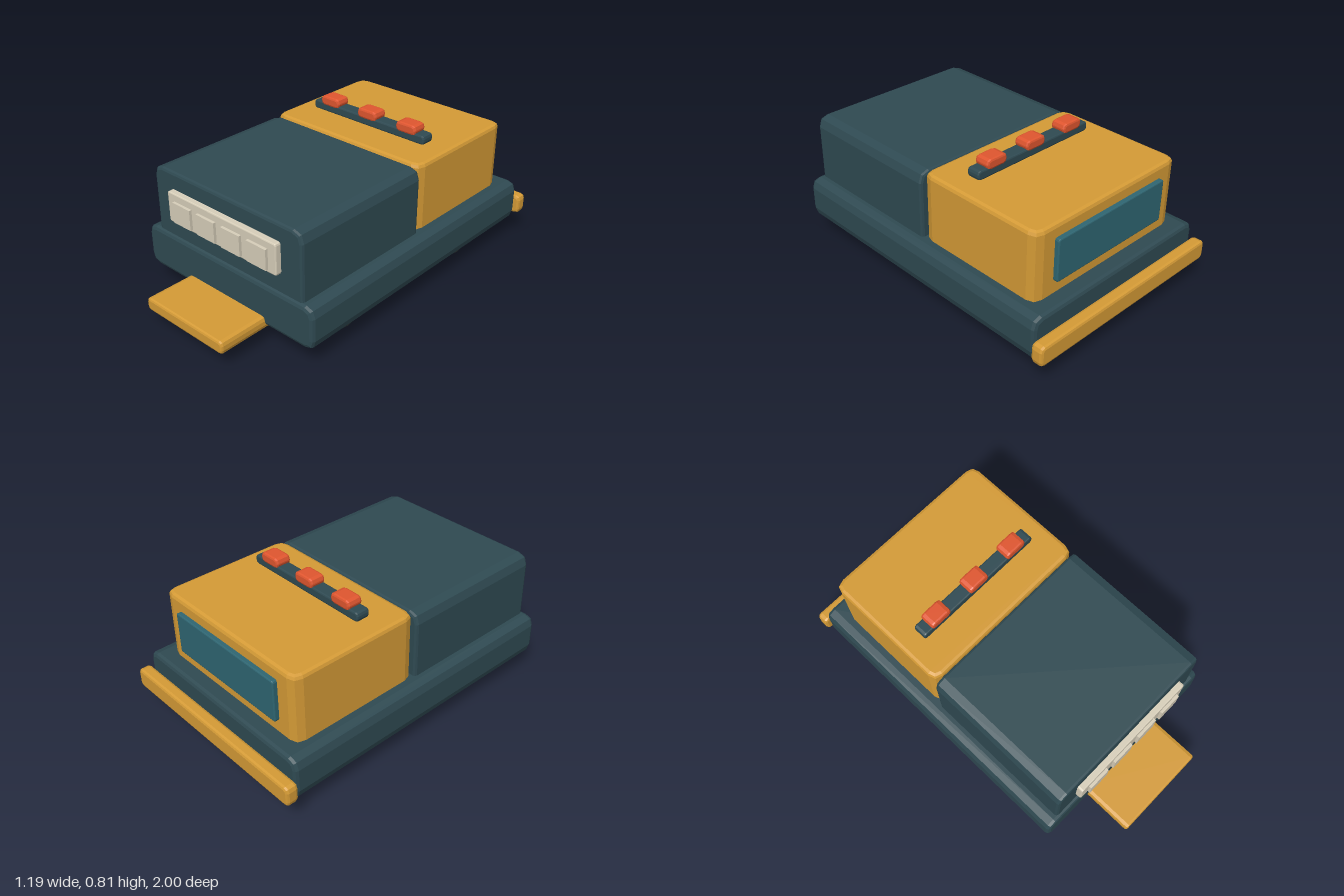
import * as THREE from 'three';

const mat = (color) => new THREE.MeshStandardMaterial({ color, flatShading: true });

// Bevelled block given by its bounds; extruded along z, or along y when upright.
function block(name, material, [x0, x1], [y0, y1], [z0, z1], r, b, upright = false) {
  const w = x1 - x0;
  const h = upright ? z1 - z0 : y1 - y0;
  const d = upright ? y1 - y0 : z1 - z0;
  const X = w / 2 - b, Y = h / 2 - b;
  const s = new THREE.Shape();
  s.moveTo(-X + r, -Y);
  s.lineTo(X - r, -Y);
  s.quadraticCurveTo(X, -Y, X, -Y + r);
  s.lineTo(X, Y - r);
  s.quadraticCurveTo(X, Y, X - r, Y);
  s.lineTo(-X + r, Y);
  s.quadraticCurveTo(-X, Y, -X, Y - r);
  s.lineTo(-X, -Y + r);
  s.quadraticCurveTo(-X, -Y, -X + r, -Y);
  const g = new THREE.ExtrudeGeometry(s, {
    depth: d - 2 * b, curveSegments: 2, bevelEnabled: true,
    bevelSize: b, bevelThickness: b, bevelSegments: 2,
  });
  g.translate(0, 0, b - d / 2);
  if (upright) g.rotateX(-Math.PI / 2);
  const m = new THREE.Mesh(g, material);
  m.name = name;
  m.position.set((x0 + x1) / 2, (y0 + y1) / 2, (z0 + z1) / 2);
  return m;
}

export function createModel() {
  const model = new THREE.Group();
  model.name = 'truck';
  const slate = mat(0x2f4a52), gold = mat(0xd59b36), red = mat(0xe0562f);
  const cream = mat(0xd8cfba), glass = mat(0x2f6672), rubber = mat(0x23292b);
  const wide = (v) => [-v, v];

  // Body
  model.add(
    block('chassis', slate, wide(0.573), [0.125, 0.35], [-0.93, 0.73], 0.035, 0.02),
    block('hood', slate, wide(0.5), [0.27, 0.706], [-0.115, 0.713], 0.045, 0.015),
    block('cab', gold, wide(0.487), [0.29, 0.713], [-0.845, -0.12], 0.035, 0.02, true),
    block('rearWindow', glass, wide(0.368), [0.42, 0.645], [-0.87, -0.83], 0.006, 0.006),
  );

  // Front plate and rear bumper
  model.add(
    block('frontPlate', gold, wide(0.268), [0.104, 0.172], [0.68, 1], 0.012, 0.012),
    block('rearBumper', gold, wide(0.597), [0.15, 0.256], [-1, -0.935], 0.014, 0.014),
  );

  // Grille with four raised panels
  model.add(block('grille', cream, wide(0.37), [0.45, 0.615], [0.7, 0.745], 0.006, 0.006));
  for (const x of [-0.2575, -0.0865, 0.0865, 0.2575]) {
    const panel = new THREE.Mesh(new THREE.BoxGeometry(0.125, 0.11, 0.03), cream);
    panel.name = 'grillePanel';
    panel.position.set(x, 0.52, 0.745);
    model.add(panel);
  }

  // Light bar and beacons
  model.add(block('lightBar', slate, wide(0.374), [0.725, 0.773], [-0.378, -0.302], 0.01, 0.008));
  for (const x of [-0.258, 0, 0.258]) {
    model.add(block('beacon', red, [x - 0.063, x + 0.063], [0.76, 0.813], [-0.383, -0.297], 0.014, 0.011));
  }

  // Wheels with hubs
  const tyre = new THREE.CylinderGeometry(0.145, 0.145, 0.112, 16).rotateZ(Math.PI / 2);
  const hub = new THREE.CylinderGeometry(0.047, 0.047, 0.12, 12).rotateZ(Math.PI / 2);
  for (const x of [-0.39, 0.39]) {
    for (const z of [0.345, -0.575]) {
      const wheel = new THREE.Group();
      wheel.name = 'wheel';
      const t = new THREE.Mesh(tyre, rubber);
      t.name = 'tyre';
      const h = new THREE.Mesh(hub, gold);
      h.name = 'hub';
      wheel.add(t, h);
      wheel.position.set(x, 0.145, z);
      model.add(wheel);
    }
  }
  return model;
}
